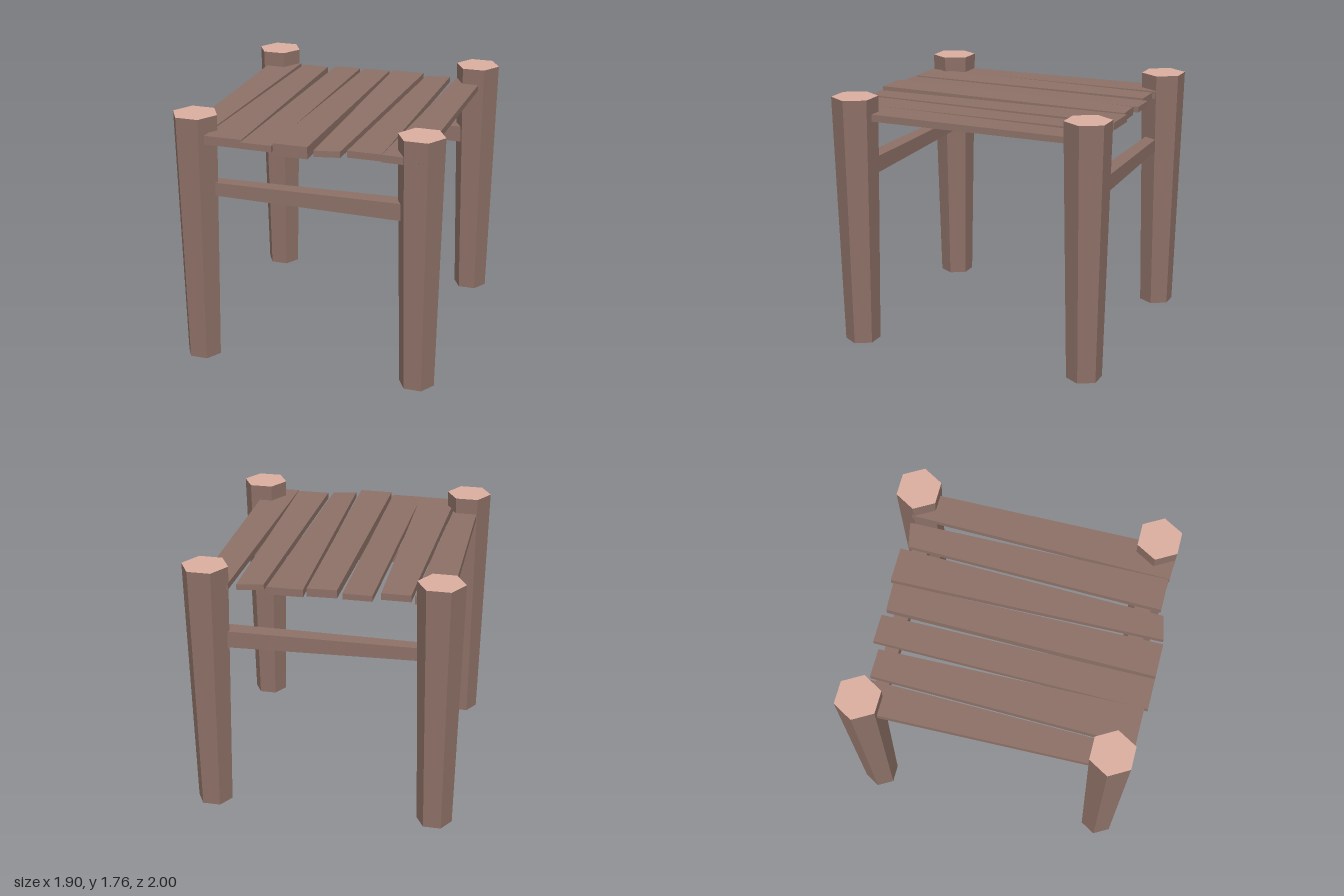
import * as THREE from 'three';

const wood = new THREE.MeshStandardMaterial({ color: 0x8d7167 });
wood.name = 'brown wood';
const endGrain = new THREE.MeshStandardMaterial({ color: 0xdcafa1 });
endGrain.name = 'pale end grain';

// Box whose eight corners are placed by a rule of their signs along x, y, z
function shapedBox(name, rule) {
  const geo = new THREE.BoxGeometry(2, 2, 2);
  const p = geo.attributes.position;
  for (let i = 0; i < p.count; i++) p.setXYZ(i, ...rule(p.getX(i), p.getY(i), p.getZ(i)));
  geo.computeVertexNormals();
  const mesh = new THREE.Mesh(geo, wood);
  mesh.name = name;
  return mesh;
}

// Tapered hexagonal post with pale ends
function leg(name, x, z) {
  const height = 1.76;
  let geo = new THREE.CylinderGeometry(0.158, 0.121, height, 6);
  geo.rotateY(Math.PI / 2 + Math.PI);
  const groups = geo.groups.map((g) => ({ ...g }));
  geo = geo.toNonIndexed();
  geo.computeVertexNormals();
  groups.forEach((g) => geo.addGroup(g.start, g.count, g.materialIndex));
  const mesh = new THREE.Mesh(geo, [wood, endGrain, endGrain]);
  mesh.name = name;
  mesh.position.set(x, height / 2, z);
  return mesh;
}

// Seat slat: each end is [x left, x right, z at left, z at right, thickness]
function slat(name, back, front) {
  return shapedBox(name, (sx, sy, sz) => {
    const [x0, x1, z0, z1, t] = sz > 0 ? front : back;
    return [sx > 0 ? x1 : x0, 1.625 + (sy * t) / 2, sx > 0 ? z1 : z0];
  });
}

// Cross rail, a little thicker at its +x end
function rail(name, zLeft, zRight) {
  return shapedBox(name, (sx, sy, sz) => {
    const half = sx > 0 ? 0.059 : 0.045;
    return [sx * 0.7, 1.244 + sy * half, (sx > 0 ? zRight : zLeft) + sz * half];
  });
}

export function createModel() {
  const model = new THREE.Group();
  model.name = 'stool';

  model.add(
    leg('frontRightLeg', -0.75, 0.84),
    leg('frontLeftLeg', 0.79, 0.81),
    leg('backRightLeg', -0.795, -0.84),
    leg('backLeftLeg', 0.75, -0.865),
    rail('frontRail', 0.815, 0.803),
    rail('backRail', -0.795, -0.825),
  );

  // Uneven slats from -x to +x: back end, front end
  const slats = [
    [[-0.855, -0.625, -0.84, -0.84, 0.055], [-0.82, -0.65, 0.85, 0.85, 0.042]],
    [[-0.6, -0.405, -0.825, -0.825, 0.046], [-0.632, -0.37, 0.97, 0.97, 0.06]],
    [[-0.358, -0.163, -0.875, -0.875, 0.04], [-0.37, -0.155, 0.995, 0.995, 0.044]],
    [[-0.123, 0.075, -0.853, -0.862, 0.056], [-0.143, 0.091, 0.995, 0.995, 0.082]],
    [[0.093, 0.335, -0.885, -0.885, 0.052], [0.13, 0.298, 0.99, 0.955, 0.042]],
    [[0.365, 0.54, -0.84, -0.875, 0.04], [0.335, 0.565, 0.93, 0.93, 0.046]],
    [[0.595, 0.787, -0.88, -0.88, 0.042], [0.567, 0.806, 0.938, 0.945, 0.05]],
  ];
  slats.forEach(([back, front], i) => model.add(slat(`seatSlat${i + 1}`, back, front)));

  return model;
}
